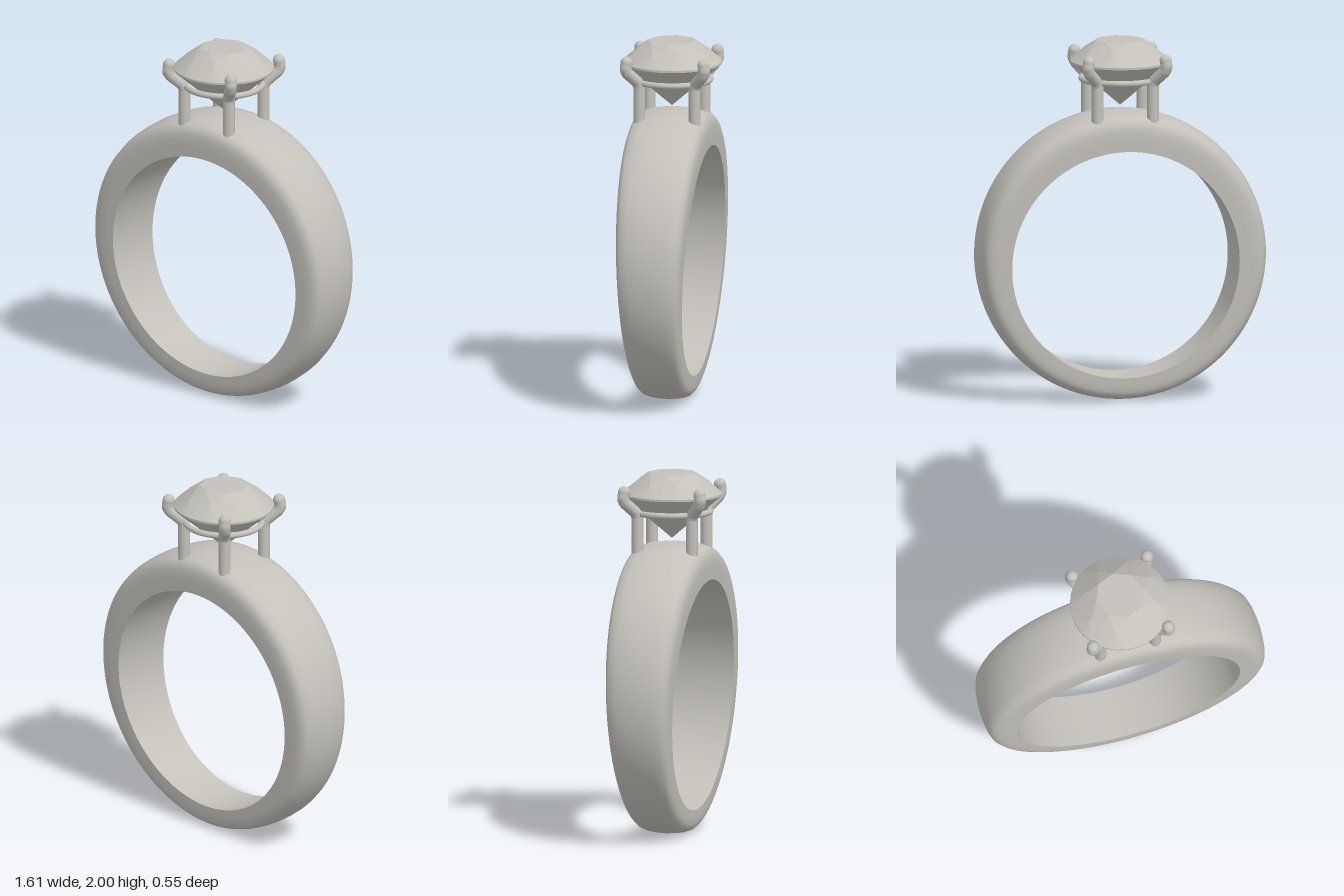
import * as THREE from 'three';
import { mergeVertices } from 'three/addons/utils/BufferGeometryUtils.js';

const metal = new THREE.MeshStandardMaterial({ color: 0xc4c1bb });
metal.name = 'silver grey';
const gemMaterial = metal.clone();
gemMaterial.name = 'silver grey faceted';
gemMaterial.flatShading = true;

// Sweeps a [width fraction, thickness fraction] profile round the tapering band.
function bandSurface(profile, steps = 160) {
  const pos = [], index = [], n = profile.length;
  for (let i = 0; i < steps; i++) {
    const a = (i / steps) * Math.PI * 2;
    for (const [s, t] of profile) {
      const r = 0.637 + (0.806 - 0.637) * t;
      const y = 0.768 + (0.806 - 0.768) * t + r * Math.sin(a);
      pos.push(r * Math.cos(a), y, s * (0.137 + 0.052 * y));
    }
    for (let j = 0; j < n - 1; j++) {
      const p = i * n + j, q = ((i + 1) % steps) * n + j;
      index.push(p, p + 1, q, p + 1, q + 1, q);
    }
  }
  const g = new THREE.BufferGeometry();
  g.setAttribute('position', new THREE.Float32BufferAttribute(pos, 3));
  g.setIndex(index);
  g.computeVertexNormals();
  return g;
}

// Round brilliant: table, star, kite and girdle facets over a pointed pavilion.
function brilliantGeometry() {
  const pos = [], centre = new THREE.Vector3(0, 1.87, 0);
  const at = (r, y, deg) => {
    const a = THREE.MathUtils.degToRad(deg);
    return new THREE.Vector3(r * Math.cos(a), y, r * Math.sin(a));
  };
  const tri = (a, b, c) => {
    const normal = b.clone().sub(a).cross(c.clone().sub(a));
    const out = a.clone().add(b).add(c).divideScalar(3).sub(centre);
    for (const v of normal.dot(out) > 0 ? [a, b, c] : [a, c, b]) pos.push(v.x, v.y, v.z);
  };
  const top = at(0, 2, 0), culet = at(0, 1.635, 0);
  for (let k = 0; k < 8; k++) {
    const A = k * 45;
    const T = at(0.135, 2, A), T2 = at(0.135, 2, A + 45);
    tri(top, T, T2);
    tri(T, T2, at(0.2, 1.955, A + 22.5));
    for (const m of [-1, 1]) {
      const S = at(0.2, 1.955, A + m * 22.5), L = at(0.06, 1.686, A + m * 22.5);
      tri(T, S, at(0.275, 1.885, A));
      tri(culet, L, at(0.275, 1.873, A));
      for (let i = 0; i < 4; i++) {
        const a0 = A + m * 5.625 * i, a1 = A + m * 5.625 * (i + 1);
        const u0 = at(0.275, 1.885, a0), u1 = at(0.275, 1.885, a1);
        const d0 = at(0.275, 1.873, a0), d1 = at(0.275, 1.873, a1);
        tri(S, u0, u1);
        tri(u0, u1, d0);
        tri(u1, d0, d1);
        tri(L, d0, d1);
      }
    }
  }
  const g = new THREE.BufferGeometry();
  g.setAttribute('position', new THREE.Float32BufferAttribute(pos, 3));
  g.computeVertexNormals();
  return g;
}

export function createModel() {
  const model = new THREE.Group();
  model.name = 'solitaireRing';
  const add = (name, geometry, material = metal, parent = model) => {
    const mesh = new THREE.Mesh(geometry, material);
    mesh.name = name;
    parent.add(mesh);
    return mesh;
  };

  // Band: rounded outer shell and flat bore, with a crisp edge between
  const half = [[1, 0], [1, 0.3], [0.99, 0.5], [0.965, 0.64], [0.92, 0.76], [0.82, 0.87], [0.6, 0.945], [0.3, 0.985]];
  const mirrored = half.map(([s, t]) => [-s, t]).reverse();
  add('bandOuter', bandSurface([...half, [0, 1], ...mirrored]));
  add('bandBore', bandSurface([[-1, 0], [1, 0]]));

  // Gallery ring tying the prongs together
  const gallery = add('galleryRing', new THREE.TorusGeometry(0.212, 0.017, 12, 72));
  gallery.rotation.x = Math.PI / 2;
  gallery.position.y = 1.785;

  // Four prongs: upright post, outward elbow, rounded claw tip
  const path = new THREE.CurvePath();
  const pts = [[0.155, 1.5], [0.155, 1.765], [0.162, 1.79], [0.212, 1.85], [0.22, 1.875], [0.215, 1.91]]
    .map(([d, y]) => new THREE.Vector3(d, y, d));
  for (let i = 0; i < pts.length - 1; i++) path.add(new THREE.LineCurve3(pts[i], pts[i + 1]));
  const prongGeometry = mergeVertices(new THREE.TubeGeometry(path, 48, 0.033, 16));
  const tipGeometry = new THREE.SphereGeometry(0.034, 16, 12);
  for (let i = 0; i < 4; i++) {
    const prong = new THREE.Group();
    prong.name = 'prong' + (i + 1);
    prong.rotation.y = (i * Math.PI) / 2;
    add('prongPost', prongGeometry, metal, prong);
    add('prongTip', tipGeometry, metal, prong).position.copy(pts[pts.length - 1]);
    model.add(prong);
  }

  // Faceted stone
  add('gemstone', brilliantGeometry(), gemMaterial);
  return model;
}
